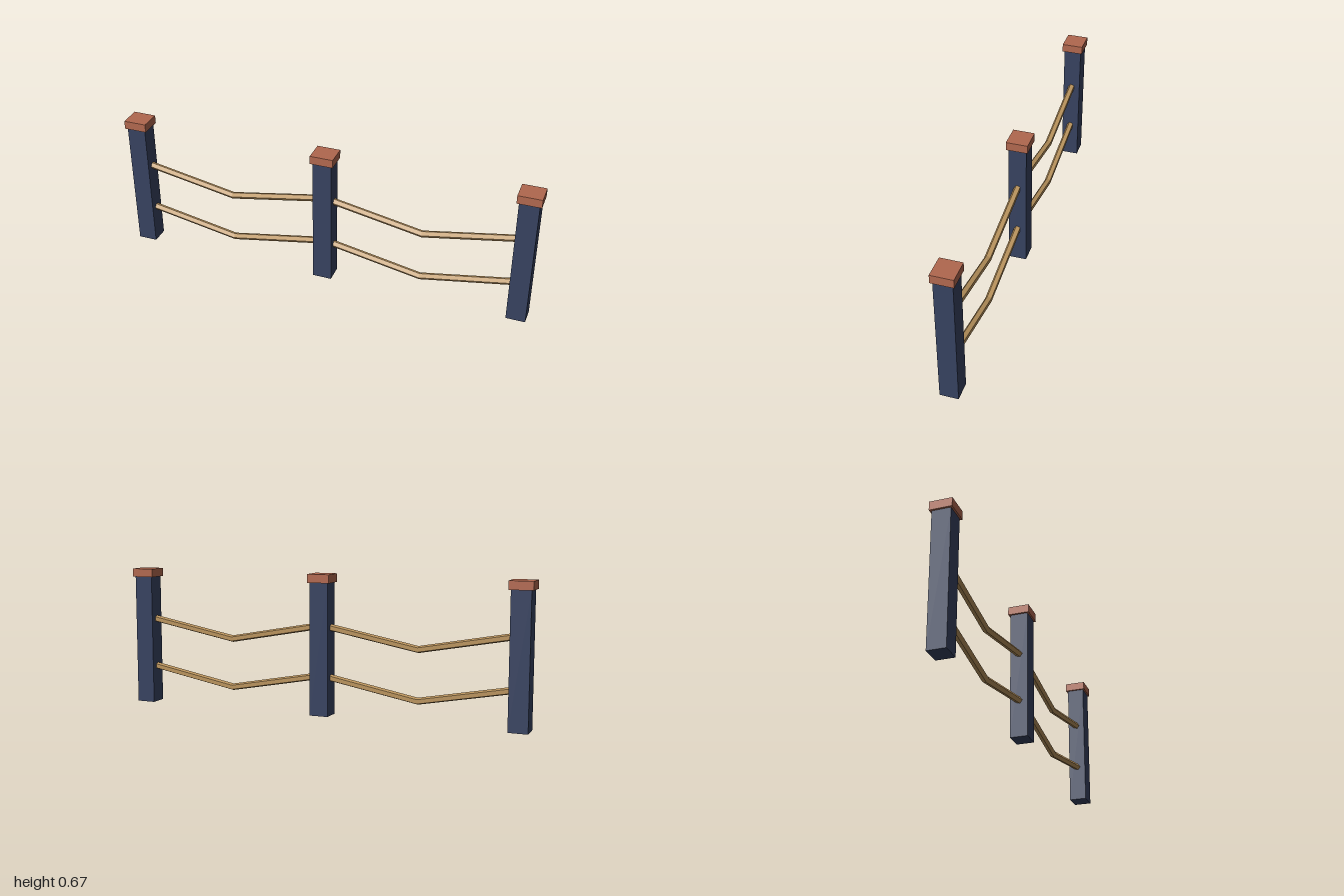
import * as THREE from 'three';

export function createModel() {
  const model = new THREE.Group();
  model.name = 'ropeFence';

  const material = (name, color) => {
    const m = new THREE.MeshStandardMaterial({ color });
    m.name = name;
    return m;
  };
  const postBlue = material('postBlue', 0x36415f);
  const capTerracotta = material('capTerracotta', 0xb0674e);
  const ropeTan = material('ropeTan', 0xb8925c);

  const add = (name, geometry, mat, x, y) => {
    const mesh = new THREE.Mesh(geometry, mat);
    mesh.name = name;
    mesh.position.set(x, y, 0);
    model.add(mesh);
  };

  const spacing = 0.945;
  const postHeight = 0.628;
  const capHeight = 0.04;

  // Posts with overhanging caps
  const postGeometry = new THREE.BoxGeometry(0.091, postHeight, 0.085);
  const capGeometry = new THREE.BoxGeometry(0.11, capHeight, 0.102);
  ['right', 'middle', 'left'].forEach((side, i) => {
    const x = (i - 1) * spacing;
    add(side + 'Post', postGeometry, postBlue, x, postHeight / 2);
    add(side + 'Cap', capGeometry, capTerracotta, x, postHeight + capHeight / 2);
  });

  // Five-sided rope sagging to a single corner at mid-span
  const half = spacing / 2;
  const sag = new THREE.Vector3(0, -0.088, 0);
  const path = new THREE.CurvePath();
  path.add(new THREE.LineCurve3(new THREE.Vector3(-half, 0, 0), sag));
  path.add(new THREE.LineCurve3(sag, new THREE.Vector3(half, 0, 0)));
  const ropeGeometry = new THREE.TubeGeometry(path, 2, 0.017, 5).toNonIndexed();
  ropeGeometry.computeVertexNormals();

  // Two ropes in each span
  for (const [side, x] of [['right', -half], ['left', half]]) {
    add(side + 'UpperRope', ropeGeometry, ropeTan, x, 0.426);
    add(side + 'LowerRope', ropeGeometry, ropeTan, x, 0.188);
  }

  return model;
}
